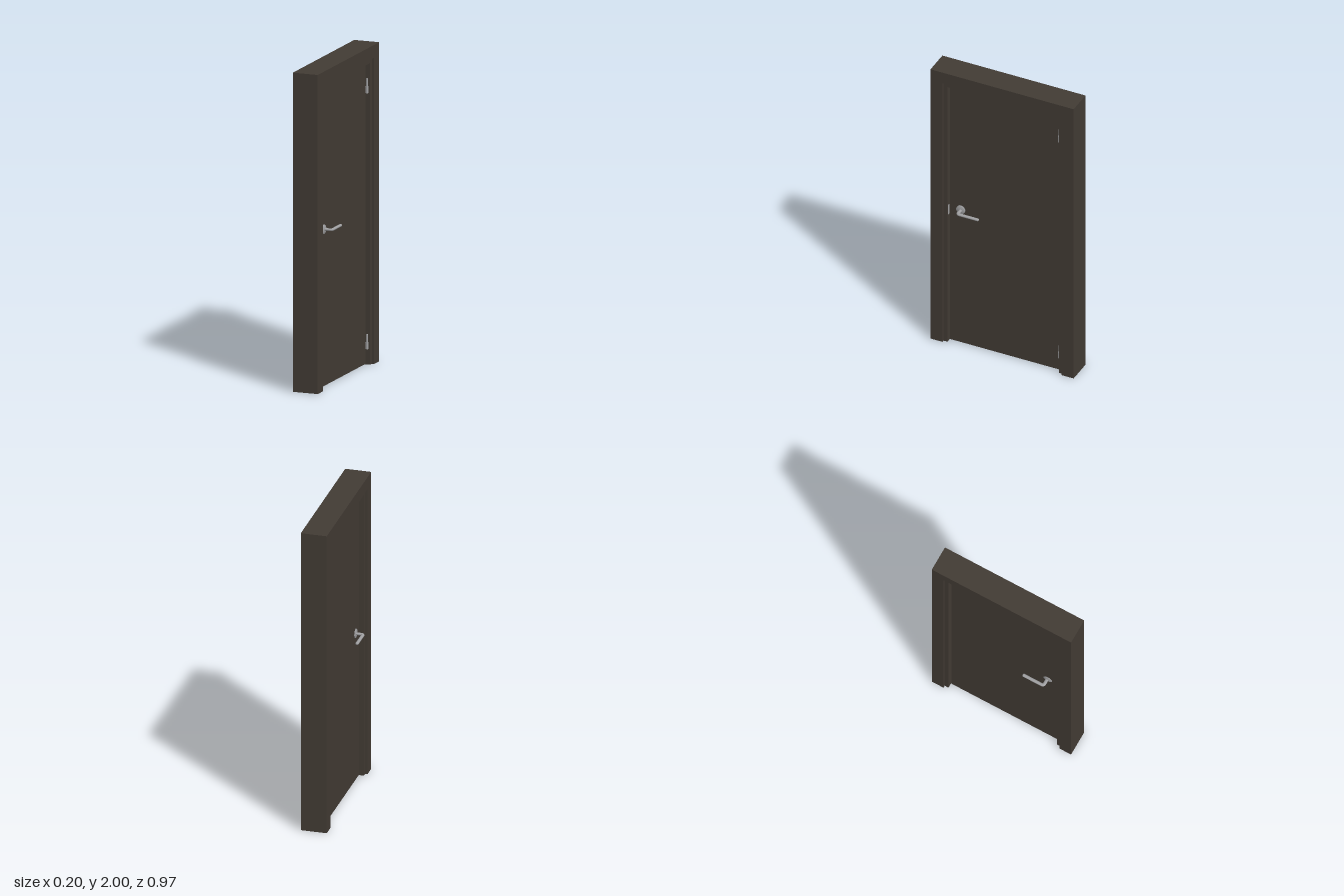
import * as THREE from 'three';

const wood = new THREE.MeshStandardMaterial({ color: 0x433c35 });
wood.name = 'dark wood';
const metal = new THREE.MeshStandardMaterial({ color: 0xa0a0a2 });
metal.name = 'satin metal';

const HALF = 0.487, FRONT = 0.033, BACK = -0.045;

function add(parent, name, geometry, material, x = 0, y = 0, z = 0) {
  const mesh = new THREE.Mesh(geometry, material);
  mesh.name = name;
  mesh.position.set(x, y, z);
  parent.add(mesh);
  return mesh;
}

// Upside-down U around the opening, extruded across the wall from x0 to x1
function portal(parent, name, half, top, x0, x1) {
  const shape = new THREE.Shape([
    [-HALF, 0], [-half, 0], [-half, top], [half, top],
    [half, 0], [HALF, 0], [HALF, 2], [-HALF, 2],
  ].map(([a, b]) => new THREE.Vector2(a, b)));
  const geo = new THREE.ExtrudeGeometry(shape, { depth: x1 - x0, bevelEnabled: false });
  geo.rotateY(Math.PI / 2);
  add(parent, name, geo, wood, x0);
}

// Lever handle pointing out along +x, its grip running towards -z
function handle(name) {
  const group = new THREE.Group();
  group.name = name;
  const rose = new THREE.LatheGeometry([
    [0, 0], [0.03, 0], [0.03, 0.007], [0.027, 0.01], [0.018, 0.01], [0.016, 0.013], [0, 0.013],
  ].map(([r, h]) => new THREE.Vector2(r, h)), 32);
  rose.rotateZ(-Math.PI / 2);
  add(group, 'rose', rose, metal);

  const path = new THREE.CurvePath();
  const p = (x, z) => new THREE.Vector3(x, 0, z);
  path.add(new THREE.LineCurve3(p(0.005, -0.003), p(0.041, -0.003)));
  path.add(new THREE.QuadraticBezierCurve3(p(0.041, -0.003), p(0.056, -0.003), p(0.056, -0.018)));
  path.add(new THREE.LineCurve3(p(0.056, -0.018), p(0.056, -0.141)));
  const tube = new THREE.TubeGeometry(path, 40, 0.0105, 14, false);
  add(group, 'lever', tube, metal).scale.y = 0.8;
  add(group, 'leverTip', new THREE.SphereGeometry(0.0105, 14, 10), metal, 0.056, 0, -0.141)
    .scale.set(1, 0.8, 0.8);
  return group;
}

// Two-part barrel hinge with a small leaf on the door
function hinge(y) {
  const group = new THREE.Group();
  group.name = 'hinge';
  group.position.set(FRONT + 0.009, y, -0.374);
  const barrel = (name, r, h, cy) =>
    add(group, name, new THREE.CylinderGeometry(r, r, h, 16), metal, 0, cy, 0);
  barrel('upperBarrel', 0.0055, 0.044, 0.022);
  barrel('lowerBarrel', 0.008, 0.045, -0.0225);
  add(group, 'hingeTip', new THREE.SphereGeometry(0.0055, 14, 8), metal, 0, 0.044, 0);
  add(group, 'doorLeaf', new THREE.BoxGeometry(0.008, 0.04, 0.009), metal, -0.005, -0.0225, 0.003);
  add(group, 'frameLeaf', new THREE.BoxGeometry(0.012, 0.04, 0.005), metal, -0.003, 0.022, -0.003);
  return group;
}

export function createModel() {
  const model = new THREE.Group();
  model.name = 'door';

  // Frame: casings on both faces, jamb between, stop hidden in the door gap
  portal(model, 'frontCasing', 0.405, 1.92, 0.06, 0.075);
  portal(model, 'jamb', 0.379, 1.891, -0.075, 0.06);
  portal(model, 'backCasing', 0.405, 1.92, -0.09, -0.075);
  portal(model, 'doorStop', 0.37, 1.88, -0.03, 0.015);

  // Door leaf
  add(model, 'doorLeaf', new THREE.BoxGeometry(FRONT - BACK, 1.88, 0.748), wood,
    (FRONT + BACK) / 2, 0.945, 0);

  // Handles on both faces
  const front = handle('frontHandle');
  front.position.set(FRONT, 0.99, 0.3);
  const back = handle('backHandle');
  back.position.set(BACK + 0.006, 0.99, 0.3);
  back.scale.x = -1;
  model.add(front, back);

  // Hinges and strike plate
  for (const y of [1.747, 0.143]) model.add(hinge(y));
  add(model, 'strikePlate', new THREE.BoxGeometry(0.018, 0.07, 0.003), metal, 0.045, 0.975, 0.3785);

  return model;
}
